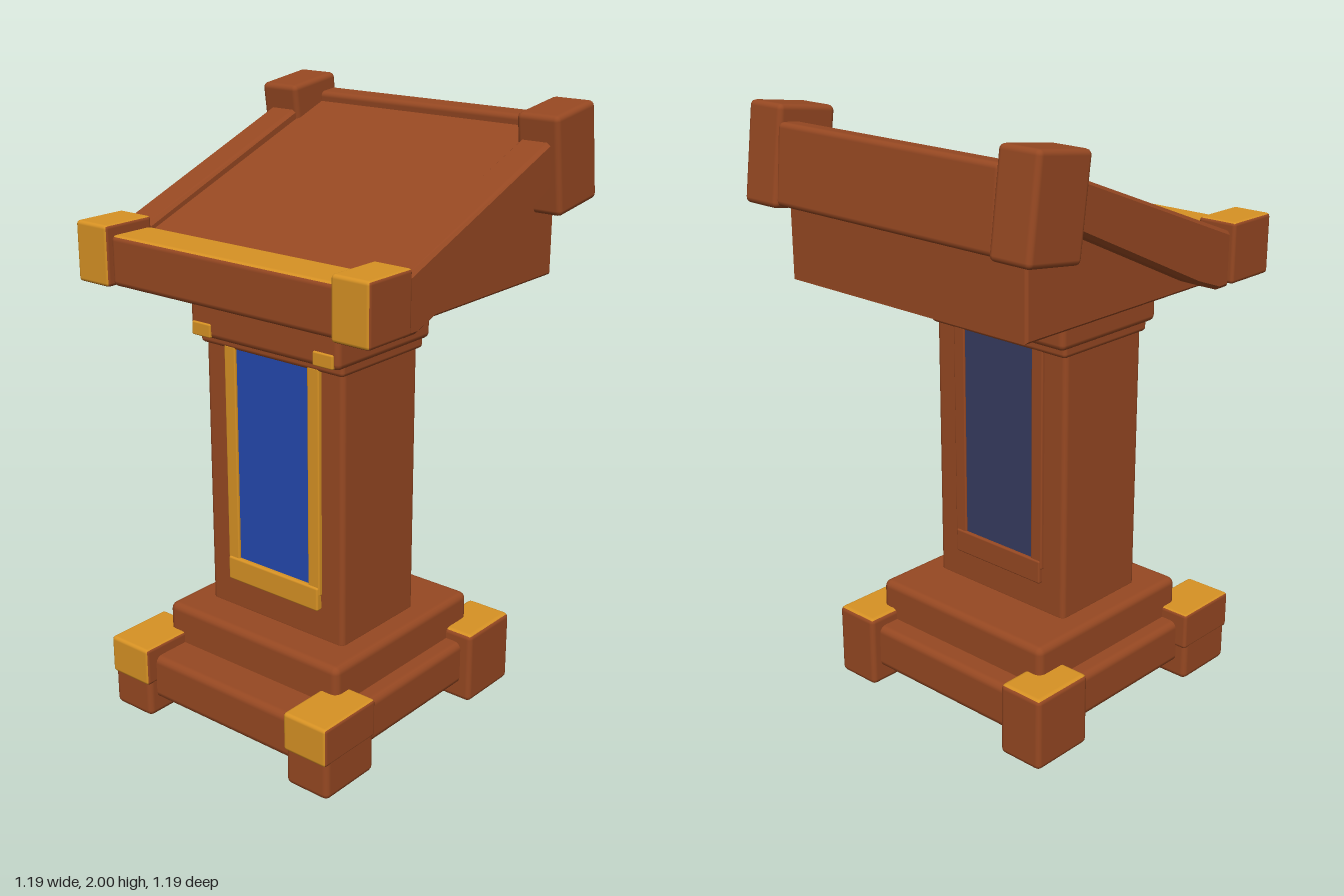
import * as THREE from 'three';
import { RoundedBoxGeometry } from 'three/addons/geometries/RoundedBoxGeometry.js';

const mat = (name, color) => {
  const m = new THREE.MeshStandardMaterial({ color });
  m.name = name;
  return m;
};

export function createModel() {
  const root = new THREE.Group();
  root.name = 'lectern';
  const wood = mat('wood', 0x964822);
  const gold = mat('gold', 0xd79224);
  const blue = mat('blue panel', 0x2449ae);
  const navy = mat('dark back panel', 0x363b60);

  // Material lists in box side order: +x, -x, +y, -y, +z, -z
  const goldTop = [wood, wood, gold, wood, wood, wood];
  const goldTopFront = [wood, wood, gold, wood, gold, wood];

  // Softly bevelled box given by its min and max on each axis
  const box = (name, [x0, x1], [y0, y1], [z0, z1], material = wood, bevel = 0.014) => {
    const w = x1 - x0, h = y1 - y0, d = z1 - z0;
    const r = Math.min(bevel, w / 3, h / 3, d / 3);
    const mesh = new THREE.Mesh(new RoundedBoxGeometry(w, h, d, 2, r), material);
    mesh.name = name;
    mesh.position.set((x0 + x1) / 2, (y0 + y1) / 2, (z0 + z1) / 2);
    root.add(mesh);
    return mesh;
  };
  const span = (side, a, b) => (side > 0 ? [a, b] : [-b, -a]);

  // Side profile of [z, y] points extruded across x
  const profile = (name, points, [x0, x1], bevel) => {
    const shape = new THREE.Shape(points.map(([z, y]) => new THREE.Vector2(z, y)));
    const geo = new THREE.ExtrudeGeometry(shape, {
      depth: x1 - x0 - 2 * bevel, bevelEnabled: true, bevelSize: bevel,
      bevelThickness: bevel, bevelOffset: -bevel, bevelSegments: 1,
    });
    geo.rotateY(-Math.PI / 2);
    geo.translate(x1 - bevel, 0, 0);
    const mesh = new THREE.Mesh(geo, wood);
    mesh.name = name;
    root.add(mesh);
  };

  // Stepped base
  box('baseSlab', [-0.425, 0.425], [0.06, 0.215], [-0.36, 0.56], wood, 0.025);
  box('baseStep', [-0.365, 0.365], [0.19, 0.345], [-0.28, 0.425], wood, 0.025);

  // Column, its flared neck and the capital
  box('column', [-0.282, 0.285], [0.33, 1.29], [-0.075, 0.297], wood, 0.018);
  box('columnNeck', [-0.292, 0.295], [1.25, 1.3], [-0.092, 0.312]);
  box('capital', [-0.303, 0.306], [1.28, 1.45], [-0.115, 0.345], wood, 0.02);

  // Front panel with gold frame
  box('frontPanel', [-0.15, 0.16], [0.52, 1.27], [0.296, 0.302], blue, 0.001);
  box('frontFrameLeft', [0.153, 0.2], [0.5, 1.26], [0.29, 0.311], gold, 0.005);
  box('frontFrameRight', [-0.19, -0.144], [0.5, 1.26], [0.29, 0.311], gold, 0.005);
  box('frontFrameBottom', [-0.187, 0.197], [0.448, 0.53], [0.29, 0.317], gold, 0.007);

  // Back panel with wooden frame
  box('backPanel', [-0.15, 0.15], [0.52, 1.27], [-0.081, -0.075], navy, 0.001);
  for (const s of [1, -1]) {
    box('backFrameSide', span(s, 0.148, 0.195), [0.5, 1.26], [-0.087, -0.07], wood, 0.005);
  }
  box('backFrameBottom', [-0.19, 0.19], [0.448, 0.53], [-0.092, -0.07], wood, 0.006);

  // Desk body: wedge under the reading board
  profile('deskBody', [[0.36, 1.44], [0.36, 1.59], [-0.495, 1.915], [-0.495, 1.44]], [-0.5, 0.5], 0.008);

  // Lip at the front and rail at the back
  box('frontLip', [-0.455, 0.455], [1.45, 1.612], [0.36, 0.528], goldTop, 0.018);
  const backRail = box('backRail', [-0.46, 0.46], [1.69, 1.945], [-0.57, -0.485], wood, 0.018);
  backRail.rotation.x = 0.1;

  for (const s of [1, -1]) {
    // Feet: gold caps over the front pair, gold tops on the rear pair
    box('frontFoot', span(s, 0.298, 0.465), [0, 0.15], [0.36, 0.592], wood, 0.02);
    box('frontFootCap', span(s, 0.296, 0.466), [0.122, 0.253], [0.355, 0.6], goldTopFront, 0.012);
    box('backFoot', span(s, 0.298, 0.465), [0, 0.252], [-0.395, -0.16], goldTop, 0.018);

    // Small studs on the capital
    box('capitalStud', span(s, 0.21, 0.288), [1.285, 1.33], [0.335, 0.352], gold, 0.005);

    // Sloping side rails
    profile('sideRail', [[0.365, 1.44], [0.365, 1.615], [-0.37, 1.9], [-0.37, 1.745], [0.2, 1.48], [0.31, 1.44]],
      span(s, 0.455, 0.567), 0.012);

    // Corner blocks
    box('frontCorner', span(s, 0.445, 0.582), [1.45, 1.645], [0.358, 0.552], goldTopFront, 0.012);
    const post = box('backCorner', span(s, 0.445, 0.597), [1.672, 1.988], [-0.573, -0.354], wood, 0.018);
    post.rotation.x = 0.135;
  }
  return root;
}
